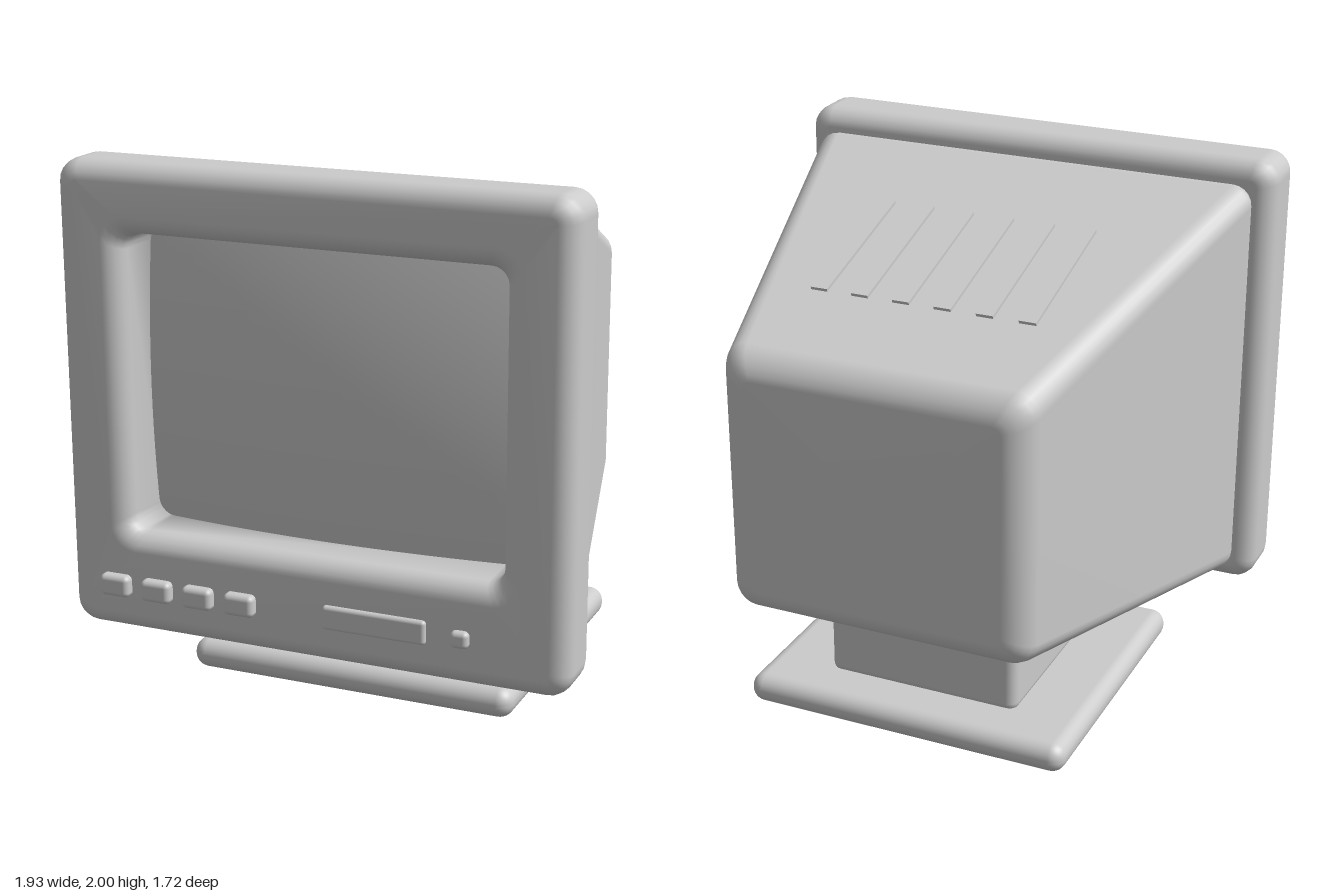
import * as THREE from 'three';
import { RoundedBoxGeometry } from 'three/addons/geometries/RoundedBoxGeometry.js';

const CORNER = 5; // segments per rounded corner

// Rounded rectangle, counter-clockwise seen from +z
function ring(hw, y0, y1, z, r) {
  const pts = [];
  const centres = [[hw - r, y1 - r], [r - hw, y1 - r], [r - hw, y0 + r], [hw - r, y0 + r]];
  centres.forEach(([cx, cy], q) => {
    for (let i = 0; i <= CORNER; i++) {
      const a = (q + i / CORNER) * Math.PI / 2;
      pts.push([cx + r * Math.cos(a), cy + r * Math.sin(a), z]);
    }
  });
  return pts;
}

// Skin a list of rings; closed joins the last ring to the first
function loft(rings, closed) {
  const n = rings[0].length, m = rings.length, index = [];
  for (let j = 0; j < (closed ? m : m - 1); j++) {
    for (let i = 0; i < n; i++) {
      const a = j * n + i, b = j * n + (i + 1) % n;
      const k = ((j + 1) % m) * n;
      const c = k + (i + 1) % n, d = k + i;
      index.push(a, b, c, a, c, d);
    }
  }
  const geo = new THREE.BufferGeometry();
  geo.setAttribute('position', new THREE.Float32BufferAttribute(rings.flat(2), 3));
  geo.setIndex(index);
  geo.computeVertexNormals();
  return geo;
}

function frameGeometry() {
  const R = 0.07, back = 0.56, front = 0.82, steps = 4, rings = [];
  const outer = (inset, z) => rings.push(ring(0.965 - inset, 0.265 + inset, 2 - inset, z, 0.085 - inset * 0.8));
  const inner = (grow, z) => rings.push(ring(0.715 + grow, 0.645 - grow, 1.745 + grow, z, 0.06 + grow * 0.5));
  const arc = (fn) => {
    for (let i = 0; i <= steps; i++) fn(i / steps * Math.PI / 2);
  };
  arc((a) => outer(R * (1 - Math.sin(a)), back + R * (1 - Math.cos(a))));
  arc((a) => outer(R * (1 - Math.cos(a)), front - R * (1 - Math.sin(a))));
  arc((a) => inner(R * (1 - Math.sin(a)), front - R * (1 - Math.cos(a))));
  inner(0, back);
  return loft(rings, true);
}

// Top line of the tapered housing
const topY = (z) => 1.92 + (z - 0.5) * 0.285;

function housingGeometry() {
  const section = (z, inset, r) => {
    const hw = 0.89 + (z - 0.5) * 0.232;
    const y0 = 0.338 - (z - 0.5) * 0.147;
    return ring(hw - inset, y0 + inset, topY(z) - inset, z, r);
  };
  const cap = (y, z) => ring(0, y, y, z, 0);
  const rings = [cap(1.04, -0.86)];
  const B = 0.085, F = 0.06, steps = 5;
  for (let i = 0; i <= steps; i++) {
    const a = i / steps * Math.PI / 2;
    rings.push(section(-0.86 + B * (1 - Math.cos(a)), B * (1 - Math.sin(a)), 0.085 - 0.05 * (1 - Math.sin(a))));
  }
  for (let i = 0; i <= steps; i++) {
    const a = i / steps * Math.PI / 2;
    rings.push(section(0.56 - F * (1 - Math.sin(a)), F * (1 - Math.cos(a)), 0.08 - 0.03 * (1 - Math.cos(a))));
  }
  rings.push(cap(1.13, 0.56));
  return loft(rings, false);
}

// Bulging glass
function screenGeometry() {
  const geo = new THREE.PlaneGeometry(1.46, 1.13, 24, 20);
  const p = geo.attributes.position;
  for (let i = 0; i < p.count; i++) {
    const u = p.getX(i) / 0.73, v = p.getY(i) / 0.565;
    p.setZ(i, 0.66 - 0.05 * u * u - 0.04 * v * v);
  }
  geo.translate(0, 1.195, 0);
  geo.computeVertexNormals();
  return geo;
}

export function createModel() {
  const group = new THREE.Group();
  const grey = new THREE.MeshStandardMaterial({ color: 0xcccccc });
  const add = (name, geo, x = 0, y = 0, z = 0) => {
    const mesh = new THREE.Mesh(geo, grey);
    mesh.name = name;
    mesh.position.set(x, y, z);
    group.add(mesh);
    return mesh;
  };
  const rounded = (w, h, d, r, seg = 3) => new RoundedBoxGeometry(w, h, d, seg, r);

  add('screenFrame', frameGeometry());
  add('housing', housingGeometry());
  add('screen', screenGeometry());

  // Stand
  add('standNeck', rounded(0.77, 0.33, 0.645, 0.04), 0, 0.26, -0.148);
  add('standBase', rounded(1.29, 0.115, 1.16, 0.055, 4), 0, 0.0575, -0.08);

  // Control buttons
  for (const x of [-0.765, -0.597, -0.43, -0.262]) {
    add('controlButton', rounded(0.118, 0.082, 0.08, 0.02), x, 0.444, 0.817);
  }
  add('frontPanel', rounded(0.39, 0.09, 0.05, 0.014), 0.255, 0.446, 0.812);
  add('powerButton', rounded(0.066, 0.062, 0.06, 0.018), 0.577, 0.445, 0.816);

  // Vent strips lying along the sloped top
  for (let i = 0; i < 6; i++) {
    const z = -0.16;
    const vent = add('vent', new THREE.BoxGeometry(0.065, 0.03, 0.582), -0.405 + i * 0.161, topY(z) - 0.004, z);
    vent.rotation.x = -Math.atan(0.285);
  }
  return group;
}
